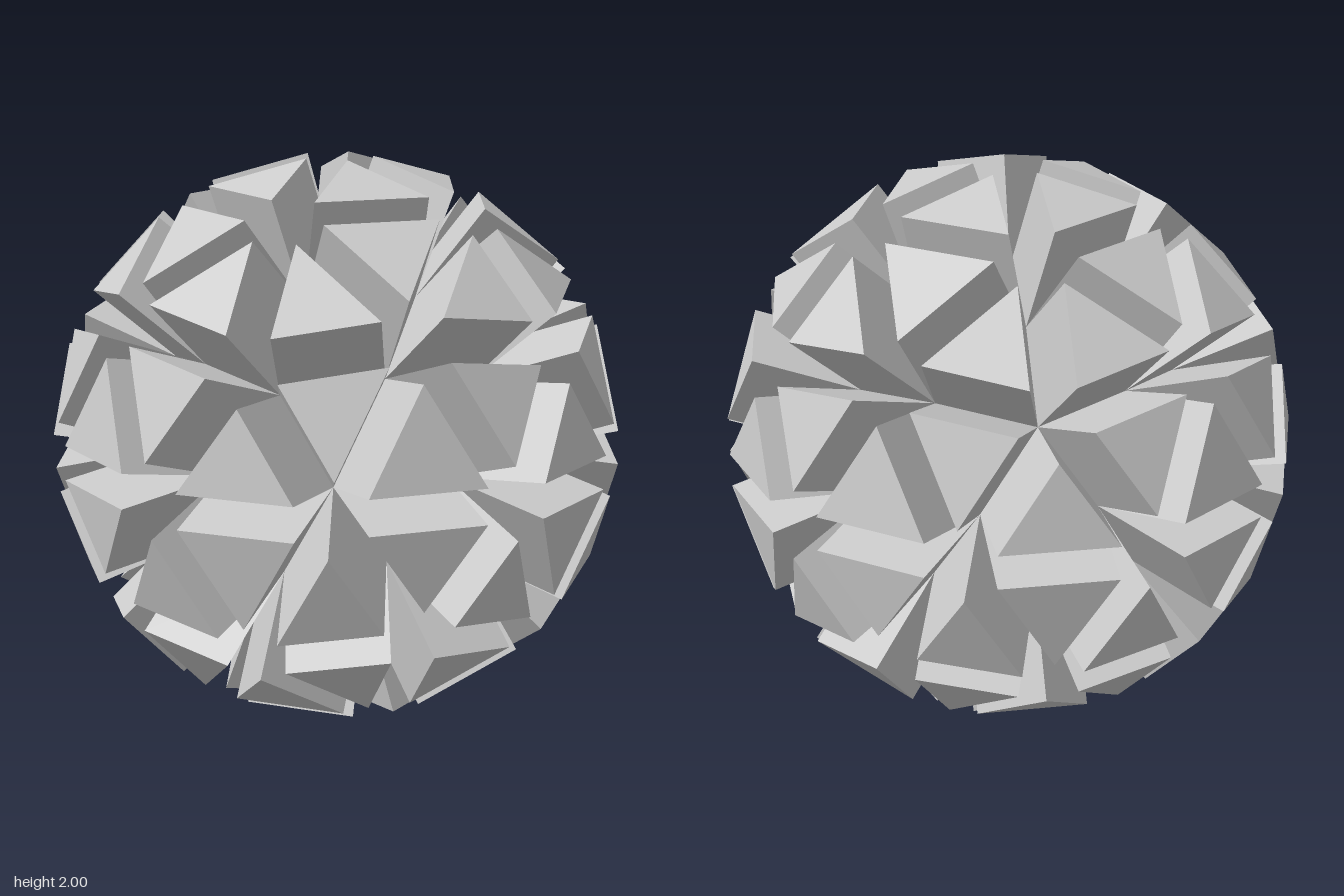
import * as THREE from 'three';

const CORE_RADIUS = 0.639; // sphere through the groove corners
const HEIGHT = 0.383; // how far each triangle is pushed out

// Triangular prism raised along the normal of triangle a, b, c (open at the base)
function prismPoints(a, b, c) {
  const normal = new THREE.Triangle(a, b, c).getNormal(new THREE.Vector3());
  const base = [a, b, c];
  const top = base.map((p) => p.clone().addScaledVector(normal, HEIGHT));
  const points = [...top];
  for (let i = 0; i < 3; i++) {
    const j = (i + 1) % 3;
    points.push(base[i], base[j], top[j], base[i], top[j], top[i]);
  }
  return points;
}

export function createModel() {
  const group = new THREE.Group();
  group.name = 'extrudedSphere';
  const material = new THREE.MeshStandardMaterial({ color: 0xcccccc, flatShading: true });

  // Core of 80 triangles, turned so a five-sided corner points straight up
  const core = new THREE.IcosahedronGeometry(CORE_RADIUS, 1);
  core.rotateZ(-Math.atan(2 / (1 + Math.sqrt(5))));
  core.translate(0, 1, 0);

  // One raised prism per core triangle
  const position = core.getAttribute('position');
  const corner = (i) => new THREE.Vector3().fromBufferAttribute(position, i);
  for (let i = 0; i < position.count; i += 3) {
    const points = prismPoints(corner(i), corner(i + 1), corner(i + 2));
    const geometry = new THREE.BufferGeometry().setFromPoints(points);
    geometry.computeVertexNormals();
    const prism = new THREE.Mesh(geometry, material);
    prism.name = `triangularPrism${i / 3 + 1}`;
    group.add(prism);
  }
  return group;
}
